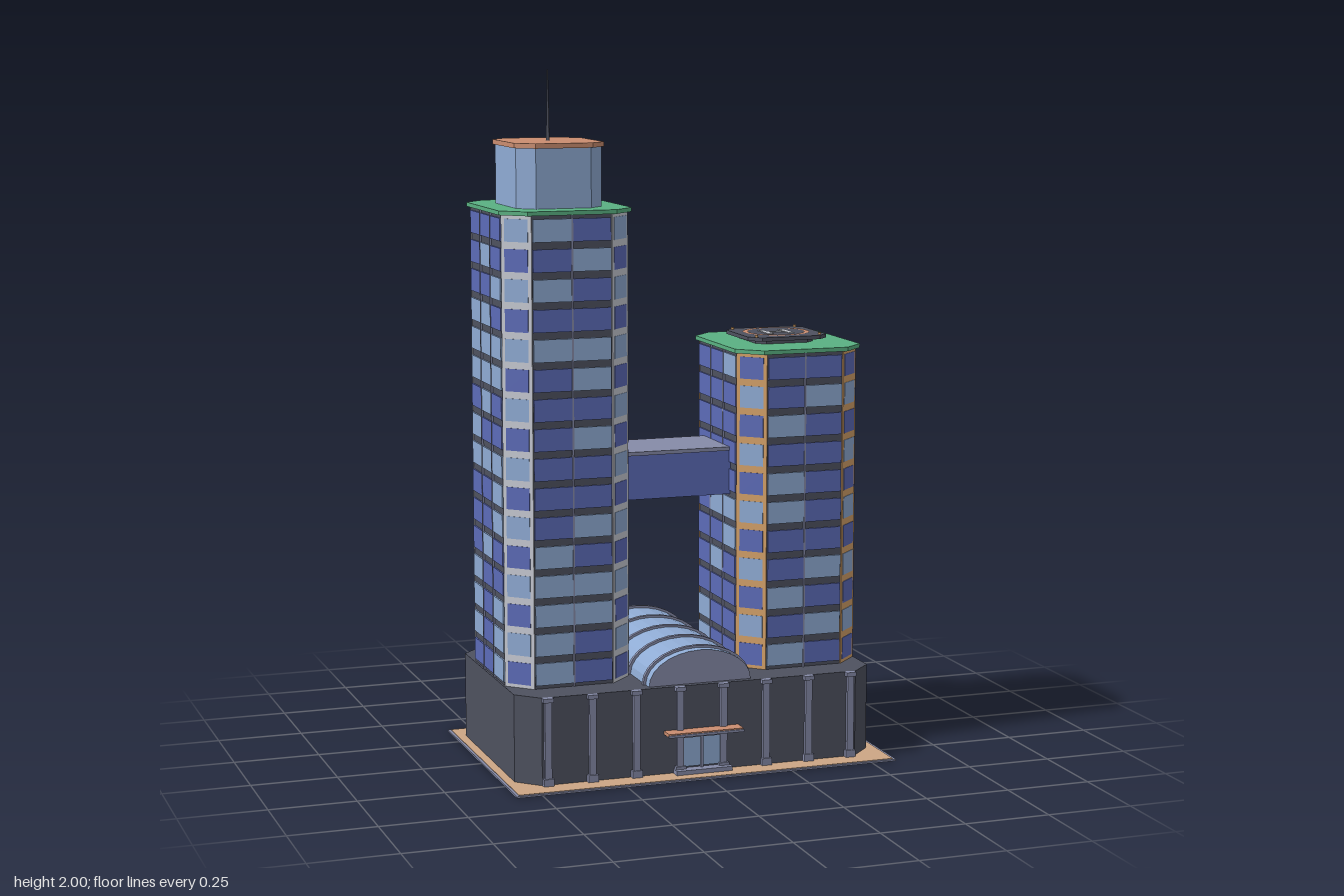
import * as THREE from 'three';
import { mergeGeometries } from 'three/addons/utils/BufferGeometryUtils.js';

const mat = (name, color) => {
  const m = new THREE.MeshStandardMaterial({ color });
  m.name = name;
  return m;
};

export function createModel() {
  const root = new THREE.Group();
  root.name = 'twinTowerComplex';
  const M = {
    dark: mat('charcoal', 0x4e515f),
    paving: mat('sandPaving', 0xcca685),
    green: mat('greenRoof', 0x5ab182),
    clay: mat('clay', 0xca8d70),
    steel: mat('lavenderSteel', 0x868ba8),
    blue: mat('deepBlueGlass', 0x5c6bb8),
    sky: mat('paleBlueGlass', 0x8fabd4),
    light: mat('lightGrey', 0xc8cbd4),
    gold: mat('goldTrim', 0xd3a068),
  };
  const Z = -0.0275; // shared centre line of towers and podium

  const add = (name, geo, material, parent = root) => {
    const mesh = new THREE.Mesh(geo, material);
    mesh.name = name;
    parent.add(mesh);
    return mesh;
  };
  const box = (w, h, d, x, y, z) => new THREE.BoxGeometry(w, h, d).translate(x, y, z);

  // Rectangular prism with chamfered corners, from y0 to y1
  const octagon = (hx, hz, c, y0, y1, x, z) => {
    const pts = [[hx, hz - c], [hx - c, hz], [c - hx, hz], [-hx, hz - c],
      [-hx, c - hz], [c - hx, -hz], [hx - c, -hz], [hx, c - hz]];
    const shape = new THREE.Shape(pts.map(p => new THREE.Vector2(...p)));
    return new THREE.ExtrudeGeometry(shape, { depth: y1 - y0, bevelEnabled: false })
      .rotateX(-Math.PI / 2).translate(x, y0, z);
  };

  // Plaza with a thin curb
  add('plazaCurb', box(1.15, 0.005, 0.75, 0, 0.0025, -0.002), M.steel);
  add('plazaPaving', box(1.134, 0.003, 0.734, 0, 0.005, -0.002), M.paving);

  // Podium
  add('podium', octagon(0.54, 0.324, 0.063, 0.005, 0.26, -0.002, -0.026), M.dark);

  // Columns along the podium front
  const columns = [];
  for (let i = 0; i < 8; i++) {
    const x = -0.463 + i * 0.1314;
    columns.push(box(0.02, 0.25, 0.014, x, 0.13, 0.302),
      box(0.03, 0.022, 0.02, x, 0.016, 0.303),
      box(0.03, 0.012, 0.02, x, 0.254, 0.303));
  }
  add('frontColumns', mergeGeometries(columns), M.steel);

  // Entrance: step, framed double door and canopy
  const entrance = new THREE.Group();
  entrance.name = 'entrance';
  entrance.position.x = -0.003;
  root.add(entrance);
  add('entranceStep', box(0.17, 0.014, 0.035, 0, 0.012, 0.312), M.steel, entrance);
  add('doorFrame', mergeGeometries([-0.06, 0, 0.06].map(x => box(0.008, 0.1, 0.01, x, 0.067, 0.302))
    .concat(box(0.128, 0.008, 0.01, 0, 0.113, 0.302))), M.steel, entrance);
  add('doorGlass', mergeGeometries([-0.03, 0.03].map(x => box(0.052, 0.085, 0.006, x, 0.066, 0.3))), M.sky, entrance);
  add('canopy', box(0.226, 0.01, 0.046, 0, 0.128, 0.319), M.clay, entrance);
  add('canopyEdge', box(0.23, 0.007, 0.005, 0, 0.126, 0.343), M.steel, entrance);

  // Vaulted glass atrium: half-ellipse shell with end walls and ribs
  const arch = (rx, ry, n = 14) => Array.from({ length: n + 1 }, (_, i) => {
    const a = Math.PI * i / n;
    return new THREE.Vector2(rx * Math.cos(a), ry * Math.sin(a));
  });
  const vault = new THREE.ExtrudeGeometry(new THREE.Shape(arch(0.155, 0.097)),
    { depth: 0.61, bevelEnabled: false }).translate(0, 0.26, -0.33);
  add('atriumVault', vault, [M.steel, M.sky]);
  const ribs = [0.245, 0.109, -0.027, -0.163, -0.3].map(z => {
    const ring = new THREE.Shape([...arch(0.163, 0.104), ...arch(0.153, 0.094).reverse()]);
    return new THREE.ExtrudeGeometry(ring, { depth: 0.012, bevelEnabled: false }).translate(0, 0.26, z - 0.006);
  });
  add('atriumRibs', mergeGeometries(ribs), M.steel);

  // Skybridge between the towers
  add('skybridge', box(0.34, 0.13, 0.206, 0, 0.83, Z), M.blue);
  add('skybridgeRoof', box(0.34, 0.011, 0.218, 0, 0.9, Z), M.steel);

  // Tower with window plates on four flats and four chamfers
  function tower(name, cx, floors, top, trim, seed) {
    const g = new THREE.Group();
    g.name = name;
    g.position.set(cx, 0, Z);
    root.add(g);
    const hx = 0.184, hz = 0.224, c = 0.068, y0 = 0.26, fh = (top - y0) / floors;
    add('towerCore', octagon(hx, hz, c, y0, top, 0, 0), M.dark, g);
    const parts = { blue: [], sky: [], mullion: [], trim: [] };
    const faces = [];
    for (let k = 0; k < 4; k++) {
      const a = k * Math.PI / 2, side = k % 2;
      faces.push({ a, x: Math.sin(a) * hx, z: Math.cos(a) * hz, w: 2 * ((side ? hz : hx) - c), cols: side ? 3 : 2 });
      const b = a + Math.PI / 4;
      faces.push({ a: b, x: Math.sign(Math.sin(b)) * (hx - c / 2), z: Math.sign(Math.cos(b)) * (hz - c / 2),
        w: c * Math.SQRT2, cols: 1 });
    }
    faces.forEach((f, k) => {
      const plate = (w, h, d, u, y) => box(w, h, d, u, y, 0).rotateY(f.a).translate(f.x, 0, f.z);
      const corner = f.cols === 1, cw = f.w / f.cols, mid = (y0 + top) / 2;
      if (corner) parts.trim.push(plate(f.w, top - y0, 0.006, 0, mid));
      for (let j = 1; j < f.cols; j++) {
        parts.mullion.push(plate(0.005, top - y0, 0.012, j * cw - f.w / 2, mid));
      }
      for (let i = 0; i < floors; i++) {
        for (let j = 0; j < f.cols; j++) {
          const r = Math.abs(Math.sin((i * 12.99 + j * 78.23 + k * 37.7 + seed) * 1.7) * 4375.85) % 1;
          const pale = corner ? (i + k) % 2 === 0 : r < 0.4;
          parts[pale ? 'sky' : 'blue'].push(
            plate(cw - (corner ? 0.022 : 0.004), 0.064, 0.009, (j + 0.5) * cw - f.w / 2, y0 + (i + 0.5) * fh));
        }
      }
    });
    add('deepBlueWindows', mergeGeometries(parts.blue), M.blue, g);
    add('paleWindows', mergeGeometries(parts.sky), M.sky, g);
    add('mullions', mergeGeometries(parts.mullion), M.steel, g);
    add('cornerTrim', mergeGeometries(parts.trim), trim, g);
    add('roofTerrace', octagon(0.195, 0.2325, 0.065, top, top + 0.012, 0, 0), M.green, g);
    return g;
  }

  // Tall tower with crown and antenna
  const tall = tower('tallTower', -0.352, 16, 1.605, M.light, 1);
  add('crown', octagon(0.126, 0.15, 0.045, 1.617, 1.786, 0, 0), M.sky, tall);
  add('crownRoof', octagon(0.132, 0.157, 0.048, 1.786, 1.8, 0, 0), M.clay, tall);
  add('antenna', new THREE.CylinderGeometry(0.002, 0.005, 0.2, 8).translate(0, 1.9, 0), M.dark, tall);

  // Short tower with helipad
  const short = tower('shortTower', 0.351, 11, 1.188, M.gold, 5);
  const pad = new THREE.Group();
  pad.name = 'helipad';
  pad.position.set(-0.003, 1.2, 0);
  short.add(pad);
  add('padSupport', octagon(0.09, 0.09, 0.025, 0, 0.014, 0, 0), M.dark, pad);
  add('padDeck', octagon(0.1225, 0.1225, 0.032, 0.012, 0.023, 0, 0), M.dark, pad);
  add('landingRing', new THREE.RingGeometry(0.083, 0.098, 40).rotateX(-Math.PI / 2).translate(0, 0.0245, 0), M.clay, pad);
  add('landingMark', mergeGeometries([
    box(0.017, 0.002, 0.088, -0.033, 0.024, 0),
    box(0.017, 0.002, 0.088, 0.033, 0.024, 0),
    box(0.05, 0.002, 0.016, 0, 0.024, 0)]), M.light, pad);
  const lamps = [];
  for (const sx of [-1, 1]) for (const sz of [-1, 1]) {
    lamps.push(new THREE.CylinderGeometry(0.005, 0.005, 0.008, 8).translate(sx * 0.099, 0.025, sz * 0.099));
  }
  add('padLamps', mergeGeometries(lamps), M.gold, pad);

  return root;
}
